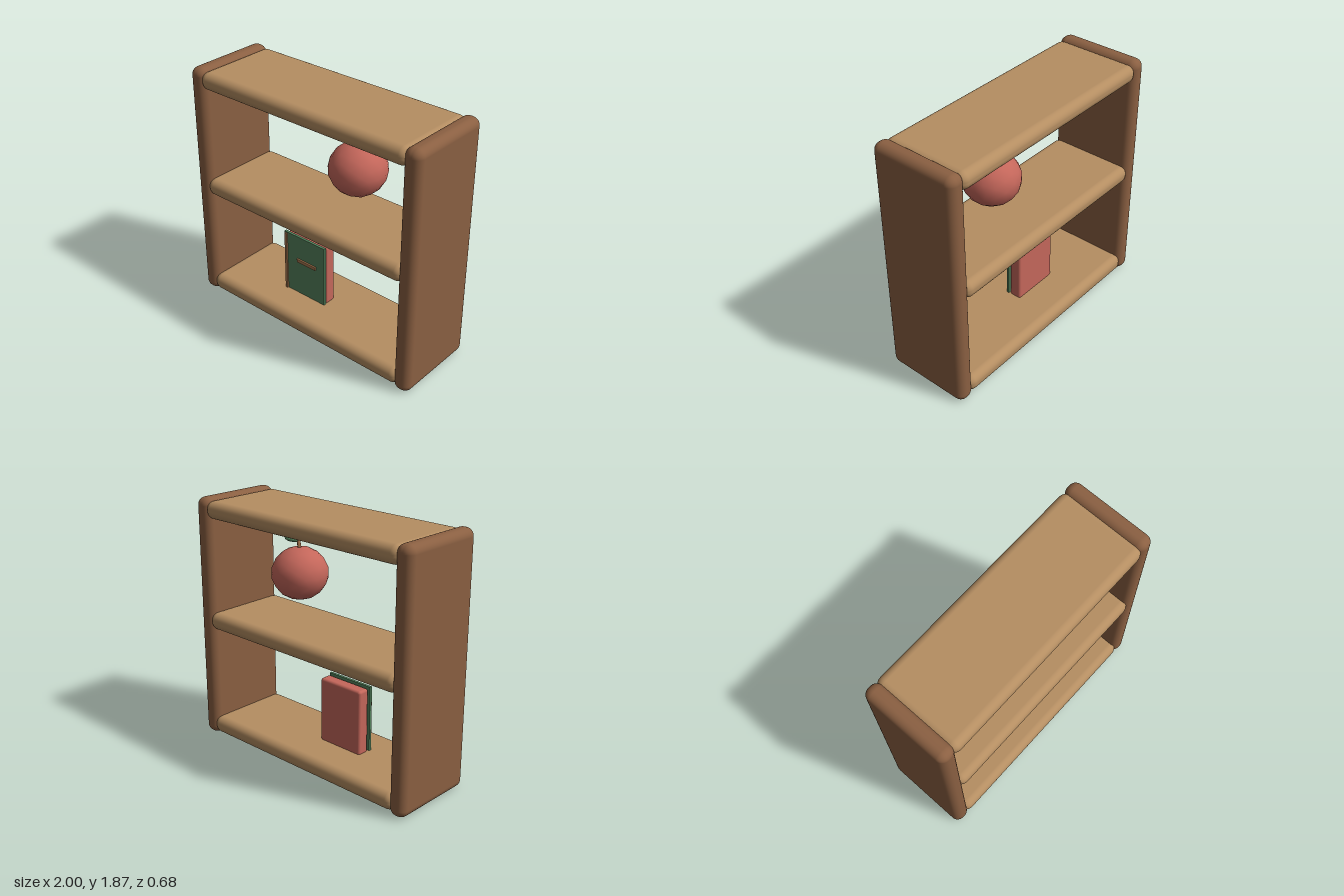
import * as THREE from 'three';
import { RoundedBoxGeometry } from 'three/addons/geometries/RoundedBoxGeometry.js';

const material = (name, color) => {
  const m = new THREE.MeshStandardMaterial({ color });
  m.name = name;
  return m;
};

export function createModel() {
  const darkWood = material('dark wood', 0x8b6042);
  const lightWood = material('light wood', 0xb58e62);
  const tan = material('tan', 0xa97850);
  const green = material('green', 0x55835d);
  const red = material('red', 0xc5675b);

  const model = new THREE.Group();
  model.name = 'shelfUnit';

  const add = (parent, name, geometry, mat, x, y, z) => {
    const mesh = new THREE.Mesh(geometry, mat);
    mesh.name = name;
    mesh.position.set(x, y, z);
    parent.add(mesh);
    return mesh;
  };

  // Upright side panels
  for (const [name, side] of [['leftPanel', 1], ['rightPanel', -1]]) {
    add(model, name, new RoundedBoxGeometry(0.134, 1.865, 0.675, 5, 0.06), darkWood, side * 0.933, 0.9325, 0);
  }

  // Shelves, with ends let into the panels
  [['bottomShelf', 0.085], ['middleShelf', 0.936], ['topShelf', 1.781]].forEach(([name, y]) => {
    add(model, name, new RoundedBoxGeometry(1.8, 0.132, 0.675, 5, 0.06), lightWood, 0, y, 0);
  });

  // Book: page block, front cover, spine strip and label
  const book = new THREE.Group();
  book.name = 'book';
  model.add(book);
  add(book, 'bookBlock', new RoundedBoxGeometry(0.38, 0.5, 0.095, 3, 0.02), red, -0.165, 0.39, 0.003);
  add(book, 'bookCover', new THREE.BoxGeometry(0.39, 0.51, 0.02), green, -0.167, 0.395, 0.068);
  add(book, 'spineStrip', new THREE.BoxGeometry(0.022, 0.49, 0.022), tan, -0.343, 0.395, 0.077);
  add(book, 'bookLabel', new THREE.BoxGeometry(0.18, 0.028, 0.016), tan, -0.142, 0.447, 0.082);

  // Fruit with stem and leaf
  const fruit = new THREE.Group();
  fruit.name = 'fruit';
  fruit.position.set(0.268, 1.37, 0);
  model.add(fruit);
  const body = add(fruit, 'fruitBody', new THREE.IcosahedronGeometry(0.208, 2), red, 0, 0, 0);
  body.scale.y = 0.93;
  const stem = add(fruit, 'stem', new THREE.CylinderGeometry(0.012, 0.014, 0.13, 8), tan, 0.008, 0.219, 0);
  stem.rotation.z = -0.15;
  const leaf = add(fruit, 'leaf', new THREE.SphereGeometry(1, 12, 8), green, 0.072, 0.236, 0);
  leaf.scale.set(0.073, 0.019, 0.036);

  return model;
}
